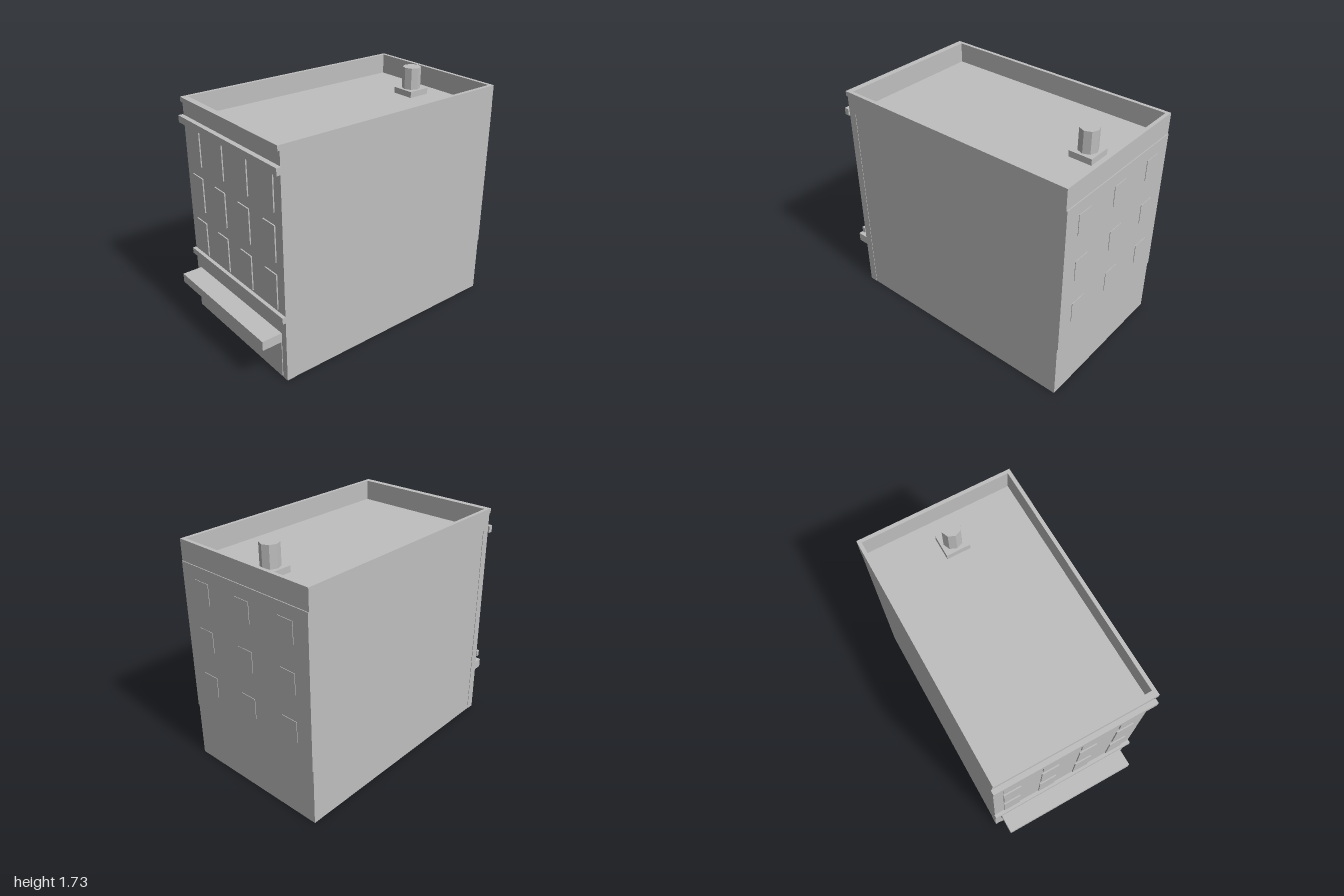
import * as THREE from 'three';

export function createModel() {
  const model = new THREE.Group();
  model.name = 'townBuilding';
  const stone = new THREE.MeshStandardMaterial({ color: 0xbfbfbf });
  stone.name = 'paleGrey';

  const add = (name, geometry, parent = model) => {
    const mesh = new THREE.Mesh(geometry, stone);
    mesh.name = name;
    parent.add(mesh);
    return mesh;
  };
  // Box given by its limits on each axis
  const block = (name, x0, x1, y0, y1, z0, z1, parent) => {
    const mesh = add(name, new THREE.BoxGeometry(x1 - x0, y1 - y0, z1 - z0), parent);
    mesh.position.set((x0 + x1) / 2, (y0 + y1) / 2, (z0 + z1) / 2);
    return mesh;
  };

  const W = 0.575, FRONT = 0.85, BACK = -0.99, ROOF = 1.525, TOP = 1.675;

  // Main walls with the roof deck on top, and the slightly wider facade
  block('mainWalls', -W + 0.003, W - 0.003, 0, ROOF, BACK, 0.79);
  block('facade', -W, W, 0, ROOF, 0.79, FRONT);
  block('rearWall', -W + 0.003, W - 0.003, 0.42, ROOF, -0.996, BACK);

  // Parapet ring around the sunken roof
  const rect = (shape, x, z0, z1) => {
    shape.moveTo(-x, -z1);
    shape.lineTo(x, -z1);
    shape.lineTo(x, -z0);
    shape.lineTo(-x, -z0);
    shape.closePath();
    return shape;
  };
  const ring = rect(new THREE.Shape(), W, BACK, FRONT);
  ring.holes.push(rect(new THREE.Path(), W - 0.027, BACK + 0.027, 0.82));
  const parapet = add('parapet', new THREE.ExtrudeGeometry(ring, { depth: TOP - ROOF, bevelEnabled: false }));
  parapet.rotation.x = -Math.PI / 2;
  parapet.position.y = ROOF;

  // Facade mouldings, awning and shopfront panel
  block('topMoulding', -W, W, 1.64, TOP, FRONT, 0.865);
  block('upperCornice', -0.586, 0.586, 1.495, 1.545, FRONT, 0.885);
  block('lowerCornice', -0.58, 0.58, 0.465, 0.51, FRONT, 0.876);
  block('awning', -0.525, 0.525, 0.287, 0.356, FRONT, 1);
  block('shopfront', -0.525, 0.525, 0.012, 0.287, FRONT, 0.855);

  // Front windows: three floors of four
  const frontWindows = new THREE.Group();
  frontWindows.name = 'frontWindows';
  model.add(frontWindows);
  for (const y of [0.527, 0.874, 1.221]) {
    for (const x of [-0.435, -0.145, 0.145, 0.435]) {
      block('frontWindow', x - 0.065, x + 0.065, y, y + 0.26, FRONT, 0.859, frontWindows);
    }
  }

  // Rear windows: three floors of three
  const rearWindows = new THREE.Group();
  rearWindows.name = 'rearWindows';
  model.add(rearWindows);
  for (const y of [0.585, 0.932, 1.279]) {
    for (const x of [-0.383, 0, 0.383]) {
      block('rearWindow', x - 0.064, x + 0.064, y, y + 0.152, -1, -0.996, rearWindows);
    }
  }

  // Roof vent on a square plinth
  block('ventBase', -0.088, 0.088, ROOF, 1.57, -0.83, -0.658);
  const vent = add('ventPipe', new THREE.CylinderGeometry(0.068, 0.068, 0.16, 8).toNonIndexed());
  vent.geometry.computeVertexNormals();
  vent.position.set(0, 1.65, -0.744);

  return model;
}
